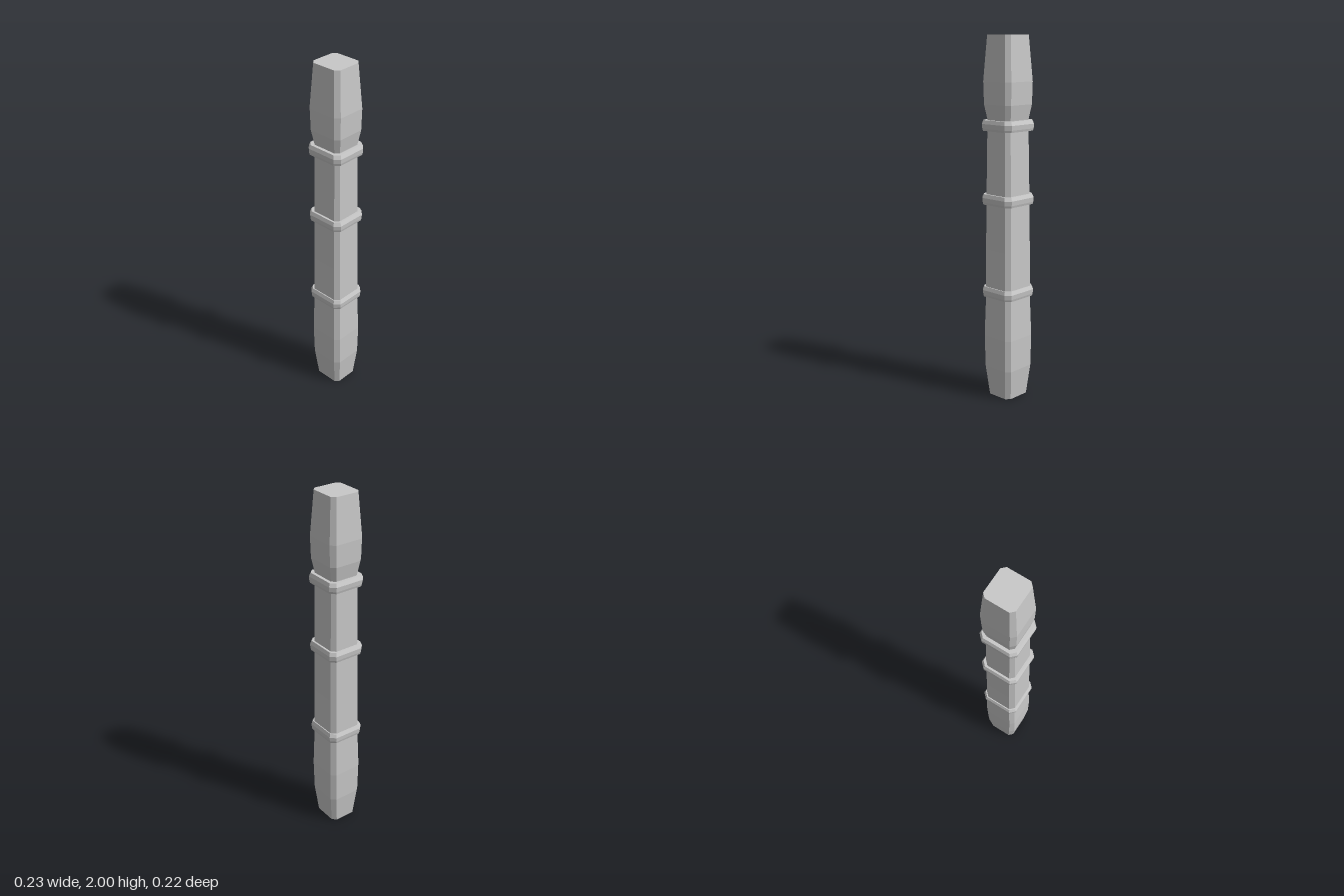
import * as THREE from 'three';

// Outline of a rectangle with cut corners, counterclockwise seen from above
function section([y, hx, cut]) {
  const hz = hx - 0.005;
  return [
    [hx, hz - cut], [hx - cut, hz], [cut - hx, hz], [-hx, hz - cut],
    [-hx, cut - hz], [cut - hx, -hz], [hx - cut, -hz], [hx, cut - hz],
  ].map(([x, z]) => new THREE.Vector3(x, y, z));
}

// Skin a stack of sections from bottom to top and cap both ends
function loft(profile) {
  const rings = profile.map(section);
  const pos = [];
  const tri = (...pts) => pts.forEach((p) => pos.push(p.x, p.y, p.z));
  for (let i = 0; i < rings.length - 1; i++) {
    for (let j = 0; j < 8; j++) {
      const k = (j + 1) % 8;
      const a = rings[i][j], b = rings[i][k], c = rings[i + 1][k], d = rings[i + 1][j];
      tri(a, c, b);
      tri(a, d, c);
    }
  }
  const bottom = rings[0], top = rings[rings.length - 1];
  for (let j = 1; j < 7; j++) {
    tri(bottom[0], bottom[j], bottom[j + 1]);
    tri(top[0], top[j + 1], top[j]);
  }
  const geo = new THREE.BufferGeometry();
  geo.setAttribute('position', new THREE.Float32BufferAttribute(pos, 3));
  geo.computeVertexNormals();
  return geo;
}

export function createModel() {
  const group = new THREE.Group();
  const grey = new THREE.MeshStandardMaterial({ color: 0xc8c8c8, flatShading: true });
  grey.name = 'plain grey';

  const add = (name, profile) => {
    const mesh = new THREE.Mesh(loft(profile), grey);
    mesh.name = name;
    group.add(mesh);
  };

  // Post segments: height, half width, corner cut
  add('lowerGrip', [
    [0, 0.086, 0.022], [0.17, 0.104, 0.024], [0.35, 0.107, 0.024], [0.6, 0.1, 0.024],
  ]);
  add('middleShaft', [[0.6, 0.102, 0.024], [0.85, 0.099, 0.023], [1.13, 0.096, 0.022]]);
  add('upperShaft', [[1.13, 0.096, 0.022], [1.53, 0.09, 0.02]]);
  add('topGrip', [
    [1.53, 0.088, 0.02], [1.56, 0.09, 0.02], [1.64, 0.104, 0.023],
    [1.76, 0.107, 0.024], [2, 0.09, 0.021],
  ]);

  // Bevelled collars
  [[0.58, 'lowerCollar'], [1.1, 'middleCollar'], [1.5, 'upperCollar']].forEach(([y, name]) => {
    add(name, [
      [y, 0.11, 0.026], [y + 0.012, 0.113, 0.027],
      [y + 0.037, 0.115, 0.028], [y + 0.057, 0.107, 0.025],
    ]);
  });
  return group;
}
